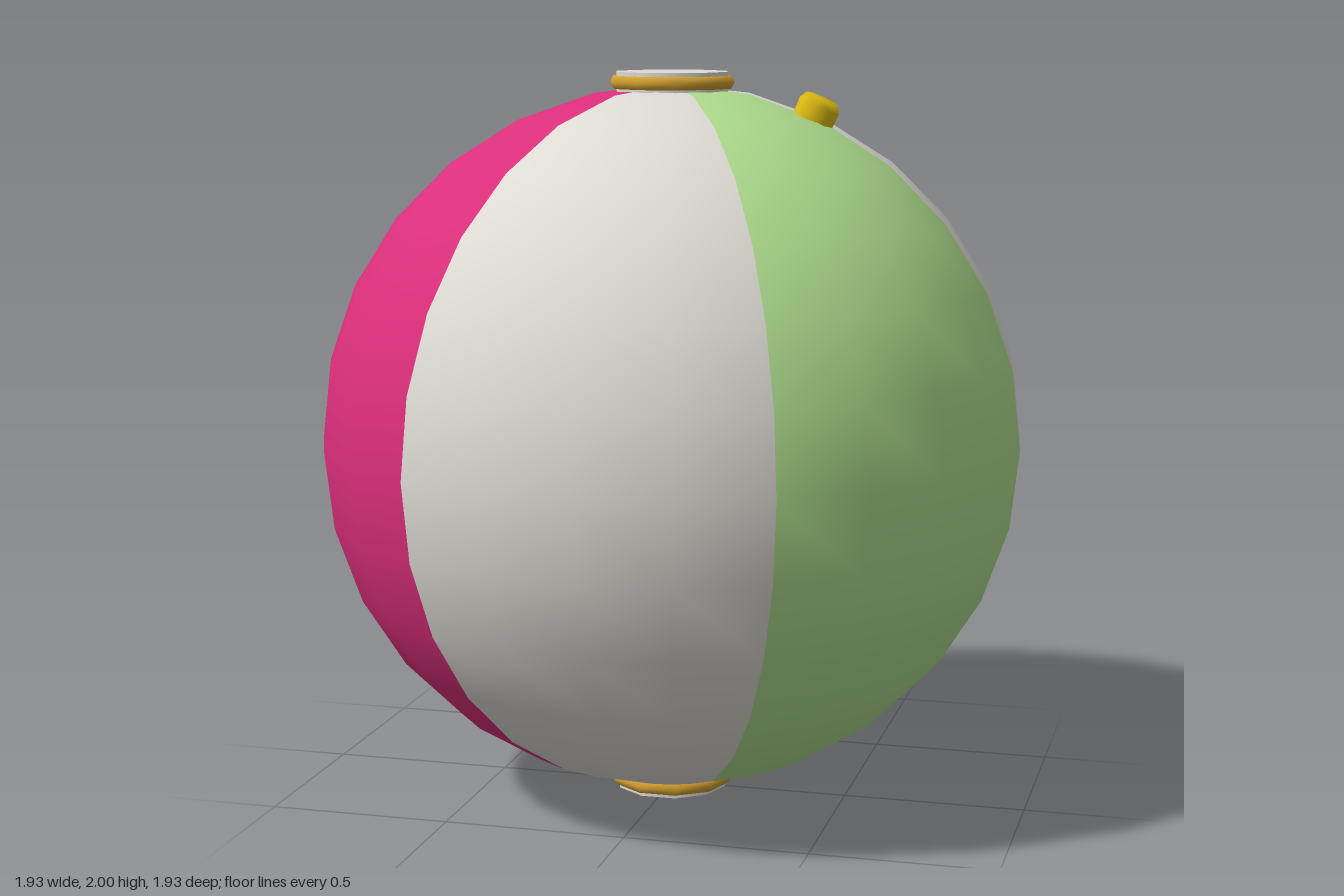
import * as THREE from 'three';

const mat = (name, color) => {
  const m = new THREE.MeshStandardMaterial({ color });
  m.name = name;
  return m;
};

export function createModel() {
  const white = mat('white', 0xdedbd4);
  const pink = mat('pink', 0xdb2f7b);
  const green = mat('green', 0xafde8e);
  const blue = mat('blue', 0x50bce0);
  const yellow = mat('yellow', 0xdfbe10);
  const gold = mat('gold', 0xd2a030);

  const ball = new THREE.Group();
  ball.name = 'beachBall';
  const R = 0.965;

  const add = (name, geometry, material, parent = ball) => {
    const mesh = new THREE.Mesh(geometry, material);
    mesh.name = name;
    parent.add(mesh);
    return mesh;
  };

  // six coloured panels, running round from the model's right (-x) through the front
  [pink, white, green, white, blue, yellow].forEach((material, i) => {
    const geo = new THREE.SphereGeometry(R, 4, 14, (i * Math.PI) / 3, Math.PI / 3);
    add(`panel${i + 1}`, geo, material).position.y = 1;
  });

  // end caps: a flat ten-sided disc held by a gold ring, top and bottom
  for (const [name, s] of [['top', 1], ['bottom', -1]]) {
    const cap = new THREE.Group();
    cap.name = `${name}Cap`;
    const disc = new THREE.CylinderGeometry(0.157, 0.157, 0.06, 10);
    disc.rotateY(Math.PI / 2);
    add(`${name}Disc`, disc, white, cap).position.y = 0.97;
    const ring = new THREE.TorusGeometry(0.155, 0.02, 6, 10);
    ring.rotateX(Math.PI / 2);
    add(`${name}Ring`, ring, gold, cap).position.y = 0.972;
    cap.position.y = 1;
    if (s < 0) cap.rotation.x = Math.PI;
    ball.add(cap);
  }

  // air valve: a small stub standing out of the skin on the model's left
  const valve = new THREE.LatheGeometry(
    [[0.056, 0.93], [0.058, 1.0], [0.046, 1.02], [0, 1.02]].map(([x, y]) => new THREE.Vector2(x, y)), 8);
  const stub = add('valve', valve, yellow);
  stub.position.y = 1;
  stub.rotation.z = -0.42;

  return ball;
}
